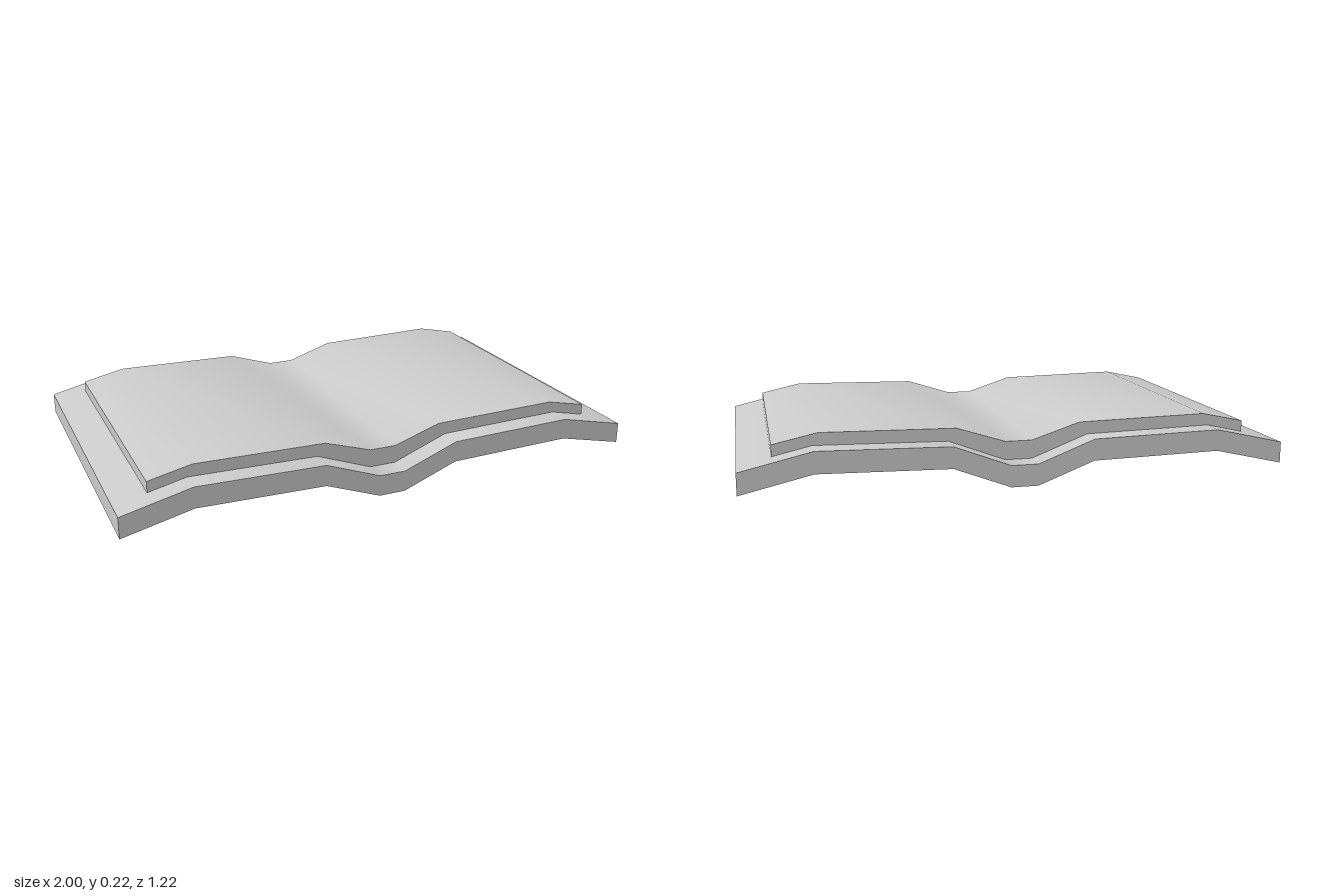
import * as THREE from 'three';
import { toCreasedNormals } from 'three/addons/utils/BufferGeometryUtils.js';

// Half profiles [x, y] from the spine outwards
const coverBottom = [[0.05, 0], [0.26, 0.08], [0.74, 0.09], [1, 0.03]];
const coverTop = [[0.05, 0.08], [0.26, 0.16], [0.74, 0.17], [1, 0.11]];
const pagesBottom = [[0.05, 0.08], [0.26, 0.16], [0.74, 0.17], [0.88, 0.138]];
const pagesTop = [[0.05, 0.148], [0.23, 0.206], [0.72, 0.215], [0.88, 0.18]];

// Mirror a half profile into a full line running from -x to +x
const mirror = (half) => [...half.map(([x, y]) => [-x, y]).reverse(), ...half];

// Bent sheet: closed cross-section extruded along z, smooth over the gentle bends
function bentSheet(name, bottom, top, depth, zCentre = 0) {
  const outline = [...mirror(bottom), ...mirror(top).reverse()];
  const shape = new THREE.Shape(outline.map(([x, y]) => new THREE.Vector2(x, y)));
  const geometry = new THREE.ExtrudeGeometry(shape, { depth, bevelEnabled: false });
  geometry.translate(0, 0, zCentre - depth / 2);
  const material = new THREE.MeshStandardMaterial({ color: 0xcccccc });
  const mesh = new THREE.Mesh(toCreasedNormals(geometry, 0.6), material);
  mesh.name = name;
  return mesh;
}

export function createModel() {
  const book = new THREE.Group();
  book.name = 'openBook';
  book.add(
    bentSheet('cover', coverBottom, coverTop, 1.215),
    bentSheet('pages', pagesBottom, pagesTop, 1.043, 0.003),
  );
  return book;
}
